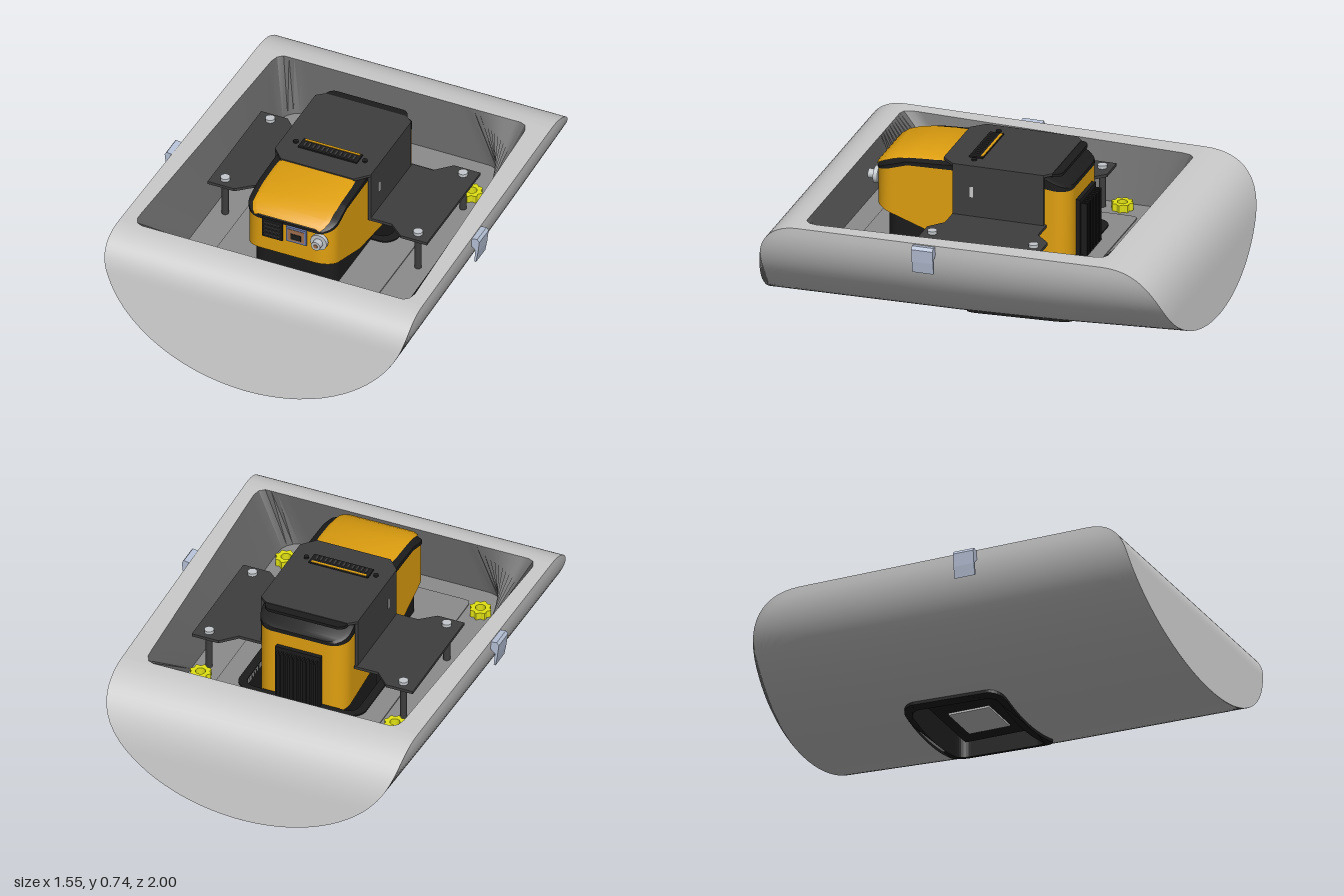
import * as THREE from 'three';
import { toCreasedNormals } from 'three/addons/utils/BufferGeometryUtils.js';

const TOP = 0.545, FLOOR = 0.3;
const mat = (color, side = THREE.FrontSide) => new THREE.MeshStandardMaterial({ color, side });
const GREY = mat(0xcccccc, THREE.DoubleSide), WALL = mat(0x666666, THREE.DoubleSide), FLOORM = mat(0x8c8c8c);
const YELLOW = mat(0xe0a010, THREE.DoubleSide), BLACK = mat(0x1c1c1c, THREE.DoubleSide), PLATE = mat(0x3e3e3e);
const STEEL = mat(0xc4c8cc), CLIP = mat(0xb9c4da), LIME = mat(0xe2e214), COPPER = mat(0xa07050), BLUE = mat(0x7080b0);

// piecewise linear lookup; keys ascending
function lookup(table, v) {
  if (v <= table[0][0]) return table[0][1];
  for (let i = 1; i < table.length; i++) {
    const [a, ya] = table[i - 1], [b, yb] = table[i];
    if (v <= b) return ya + (yb - ya) * (v - a) / (b - a);
  }
  return table[table.length - 1][1];
}

// surface through rows of [x, y, z] points
function skin(rows, closed = false, skip = () => false, crease = 0.5) {
  const n = rows[0].length, index = [];
  for (let i = 0; i < rows.length - 1; i++) {
    for (let j = 0; j < (closed ? n : n - 1); j++) {
      if (skip(i, j)) continue;
      const k = (j + 1) % n, a = i * n + j, b = i * n + k, c = a + n, d = b + n;
      index.push(a, c, b, b, c, d);
    }
  }
  const g = new THREE.BufferGeometry();
  g.setAttribute('position', new THREE.Float32BufferAttribute(rows.flat(2), 3));
  g.setIndex(index);
  return toCreasedNormals(g, crease);
}

// evenly spaced outline of a rounded rectangle in plan (y of the shape is z)
function roundRect(hw, z0, z1, r, n = 160) {
  const s = new THREE.Shape();
  s.absarc(hw - r, z1 - r, r, 0, Math.PI / 2);
  s.absarc(-hw + r, z1 - r, r, Math.PI / 2, Math.PI);
  s.absarc(-hw + r, z0 + r, r, Math.PI, Math.PI * 1.5);
  s.absarc(hw - r, z0 + r, r, Math.PI * 1.5, Math.PI * 2);
  s.closePath();
  return s.getSpacedPoints(n).slice(0, n);
}

// horizontal sheet from a plan outline
function slab(points, hole, yTop, depth) {
  const s = new THREE.Shape(points);
  if (hole) s.holes.push(new THREE.Path(hole));
  const g = new THREE.ExtrudeGeometry(s, { depth, bevelEnabled: false });
  return g.rotateX(Math.PI / 2).translate(0, yTop, 0);
}
const V = list => list.map(([x, z]) => new THREE.Vector2(x, z));

// hull rules
const keel = z => lookup([[-1, 0.065], [-0.37, 0.03], [0.1, 0.016], [1, 0.008]], z);
const halfWidth = z => 0.735 + 0.018 * z;
const hullY = (x, z) => TOP - (TOP - keel(z)) * Math.sqrt(1 - (x / halfWidth(z)) ** 2);

export function createModel() {
  const root = new THREE.Group();
  const add = (name, geo, material, x = 0, y = 0, z = 0) => {
    const m = new THREE.Mesh(geo, material);
    m.name = name;
    m.position.set(x, y, z);
    root.add(m);
    return m;
  };
  const box = (name, w, h, d, material, x, y, z) => add(name, new THREE.BoxGeometry(w, h, d), material, x, y, z);

  // side profile of the hull: sloped end, rounded shoulder, flat top
  const endProfile = (tip, knee, ctrl, flat) => {
    const out = [];
    for (let i = 0; i < 14; i++) {
      const t = (i / 14) ** 2;
      out.push([tip[0] + (knee[0] - tip[0]) * t, tip[1] + (knee[1] - tip[1]) * t]);
    }
    const c = new THREE.QuadraticBezierCurve(...V([knee, ctrl, flat]));
    return out.concat(c.getPoints(12).map(p => [p.x, p.y]));
  };
  const front = endProfile([1, 0.0085], [0.925, 0.39], [0.9, TOP], [0.735, TOP]);
  const back = endProfile([-1, 0.0655], [-0.965, 0.29], [-0.92, TOP], [-0.69, TOP]);
  const stations = [...front, [0.085, TOP], [-0.37, TOP], ...back.slice().reverse()];
  const startAngle = ([z, y]) => Math.asin(Math.min(1, (TOP - y) / (TOP - keel(z))));
  const N = 48, holeRow = front.length;
  const shell = stations.map(s => {
    const a = startAngle(s), z = s[0];
    return Array.from({ length: N + 1 }, (_, j) => {
      const t = a + (Math.PI - 2 * a) * j / N;
      return [halfWidth(z) * Math.cos(t), TOP - (TOP - keel(z)) * Math.sin(t), z];
    });
  });
  add('hullShell', skin(shell, false, (i, j) => i === holeRow && j >= 18 && j < 30), GREY);
  for (const [name, prof] of [['hullFrontEnd', front], ['hullBackEnd', back]]) {
    add(name, skin(prof.map(s => {
      const w = halfWidth(s[0]) * Math.cos(startAngle(s));
      return [-1, -0.5, 0, 0.5, 1].map(k => [w * k, s[1], s[0]]);
    })), GREY);
  }

  // flat rim, sloping cavity wall and floor
  const opening = roundRect(1, -0.675, 0.728, 0.06).map(p => new THREE.Vector2(p.x * (0.65 + 0.045 * p.y), p.y));
  const floorLoop = roundRect(0.54, -0.62, 0.728, 0.1);
  const rim = new THREE.Shape(V([[0.735, 0.735], [-0.735, 0.735], [-0.69, -0.69], [0.69, -0.69]]
    .map(([x, z]) => [Math.sign(x) * halfWidth(z), z])));
  rim.holes.push(new THREE.Path(opening));
  add('hullRim', new THREE.ShapeGeometry(rim).rotateX(Math.PI / 2).translate(0, TOP, 0), GREY);
  add('cavityWall', skin([opening.map(p => [p.x, TOP, p.y]), floorLoop.map(p => [p.x, FLOOR, p.y])], true), WALL);
  const shaftOuter = roundRect(0.31, -0.39, 0.105, 0.07), shaftInner = roundRect(0.272, -0.36, 0.07, 0.05);
  add('cavityFloor', slab(floorLoop, shaftInner, FLOOR, 0.02), FLOORM);
  add('floorPanel', slab(roundRect(0.4, -0.48, 0.63, 0.02), shaftInner, FLOOR + 0.006, 0.006), FLOORM);

  // shaft through the floor, its lower lip following the hull
  const shaft = slab(shaftOuter, shaftInner, FLOOR + 0.012, 0.2);
  const p = shaft.attributes.position;
  for (let i = 0; i < p.count; i++) {
    if (p.getY(i) < 0.2) p.setY(i, hullY(p.getX(i), p.getZ(i)) - 0.014);
  }
  shaft.computeVertexNormals();
  add('windowFrame', shaft, BLACK);
  box('sensorHead', 0.4, 0.32, 0.34, BLACK, 0, 0.25, -0.13);
  box('sensorWindow', 0.22, 0.01, 0.2, GREY, 0, 0.086, -0.14);

  // instrument body: yellow sides, black upper trim, dark base
  const bottomY = z => lookup([[-0.36, 0.28], [0.25, 0.36], [0.56, 0.47]], z);
  const seamY = z => lookup([[-0.36, 0.645], [-0.25, 0.66], [0.18, 0.69], [0.4, 0.685], [0.56, 0.635]], z);
  const crownY = z => lookup([[-0.36, 0.665], [-0.25, 0.715], [0.2, 0.72], [0.4, 0.71], [0.5, 0.68], [0.56, 0.65]], z);
  const plan = roundRect(0.215, -0.36, 0.56, 0.08);
  const ring = (sx, f) => plan.map(q => [q.x * sx, f(q.y), q.y]);
  add('bodySides', skin([ring(0, bottomY), ring(1, bottomY), ring(1, seamY)], true), YELLOW);
  add('bodyTrim', skin([ring(1, seamY), ring(1.02, seamY), ring(1.02, z => crownY(z) - 0.008),
    ring(0.93, crownY), ring(0, crownY)], true), BLACK);
  add('bodyBase', skin([0.28, 0.48].map(y => roundRect(0.2, -0.33, 0.51, 0.07).map(q => [q.x, y, q.y])), true), BLACK);
  const panel = [[0.15, 0.722], [0.3, 0.722], [0.4, 0.716], [0.47, 0.703], [0.52, 0.686], [0.55, 0.668], [0.563, 0.655]];
  add('topPanel', skin(panel.map(([z, y], i) => {
    const w = i > 4 ? 0.19 - (i - 4) * 0.015 : 0.19;
    return [[-w, y - 0.006, z], [-w + 0.02, y + 0.004, z], [w - 0.02, y + 0.004, z], [w, y - 0.006, z]];
  })), YELLOW);

  // front sockets
  box('powerSocket', 0.1, 0.1, 0.02, BLACK, -0.07, 0.597, 0.56);
  for (let i = 0; i < 4; i++) box('powerSocketRib', 0.08, 0.008, 0.01, PLATE, -0.07, 0.565 + i * 0.021, 0.571);
  box('networkSocketFrame', 0.1, 0.08, 0.02, BLUE, 0.048, 0.597, 0.56);
  box('networkSocket', 0.08, 0.06, 0.012, COPPER, 0.048, 0.597, 0.566);
  box('networkSocketMouth', 0.05, 0.03, 0.012, BLACK, 0.048, 0.59, 0.568);
  const cyl = (name, r, h, material, x, y, z, sides = 24) =>
    add(name, new THREE.CylinderGeometry(r, r, h, sides), material, x, y, z);
  cyl('coaxFlange', 0.04, 0.02, STEEL, 0.158, 0.595, 0.56).rotation.x = Math.PI / 2;
  cyl('coaxBarrel', 0.022, 0.05, STEEL, 0.158, 0.595, 0.575).rotation.x = Math.PI / 2;
  cyl('coaxCore', 0.01, 0.004, COPPER, 0.158, 0.595, 0.601).rotation.x = Math.PI / 2;

  // rear heat sink
  box('heatSink', 0.22, 0.28, 0.03, BLACK, 0, 0.44, -0.365);
  for (let i = 0; i < 10; i++) box('heatSinkFin', 0.008, 0.26, 0.04, BLACK, -0.095 + i * 0.0211, 0.43, -0.39);

  // bracket cover with two bolted wings
  add('coverTop', slab(V([[0.236, -0.25], [0.236, 0.18], [0.18, 0.24], [-0.18, 0.24], [-0.236, 0.18],
    [-0.236, -0.25], [-0.2, -0.28], [0.2, -0.28]]), null, 0.732, 0.012), PLATE);
  add('coverRearLip', slab(roundRect(0.2, -0.32, -0.2, 0.04), null, 0.729, 0.014), BLACK);
  box('connectorBase', 0.29, 0.012, 0.065, BLACK, 0, 0.733, 0.1);
  box('connectorStripe', 0.27, 0.006, 0.012, YELLOW, 0, 0.738, 0.075);
  for (let i = 0; i < 12; i++) box('connectorRib', 0.008, 0.006, 0.03, PLATE, -0.121 + i * 0.022, 0.739, 0.108);
  for (const s of [-1, 1]) {
    cyl('connectorScrew', 0.012, 0.012, BLACK, s * 0.17, 0.734, 0.1);
    box('coverSide', 0.014, 0.25, 0.43, PLATE, s * 0.229, 0.605, -0.035);
    box('coverSideSlot', 0.004, 0.05, 0.015, GREY, s * 0.236, 0.605, 0.09);
    add('wing', slab(V([[0.222, -0.26], [0.34, -0.26], [0.41, -0.33], [0.54, -0.33], [0.54, 0.24],
      [0.41, 0.24], [0.34, 0.18], [0.222, 0.18]].map(([x, z]) => [x * s, z])), null, 0.488, 0.014), PLATE);
    for (const z of [-0.285, 0.193]) {
      cyl('standoff', 0.016, 0.18, PLATE, s * 0.475, 0.388, z, 12);
      cyl('screwHead', 0.022, 0.016, STEEL, s * 0.475, 0.495, z, 16);
    }
    // lobed washers on the floor
    for (const z of [-0.38, 0.565]) {
      const lobes = Array.from({ length: 64 }, (_, i) => {
        const a = i * Math.PI / 32, r = 0.046 + 0.005 * Math.cos(8 * a);
        return [r * Math.cos(a), r * Math.sin(a)];
      });
      const hole = new THREE.Path().absarc(0, 0, 0.023, 0, Math.PI * 2).getPoints(16);
      add('washer', slab(V(lobes), hole, 0.035, 0.035), LIME, s * 0.475, FLOOR, z);
    }
    // side latch
    const latch = new THREE.Shape(V([[0.735, 0.54], [0.765, 0.545], [0.775, 0.53], [0.768, 0.47],
      [0.758, 0.415], [0.75, 0.42], [0.756, 0.48], [0.735, 0.5]].map(([x, y]) => [x * s, y])));
    add('latch', new THREE.ExtrudeGeometry(latch, { depth: 0.1, bevelEnabled: false }), CLIP, 0, 0, 0.09);
  }
  return root;
}
